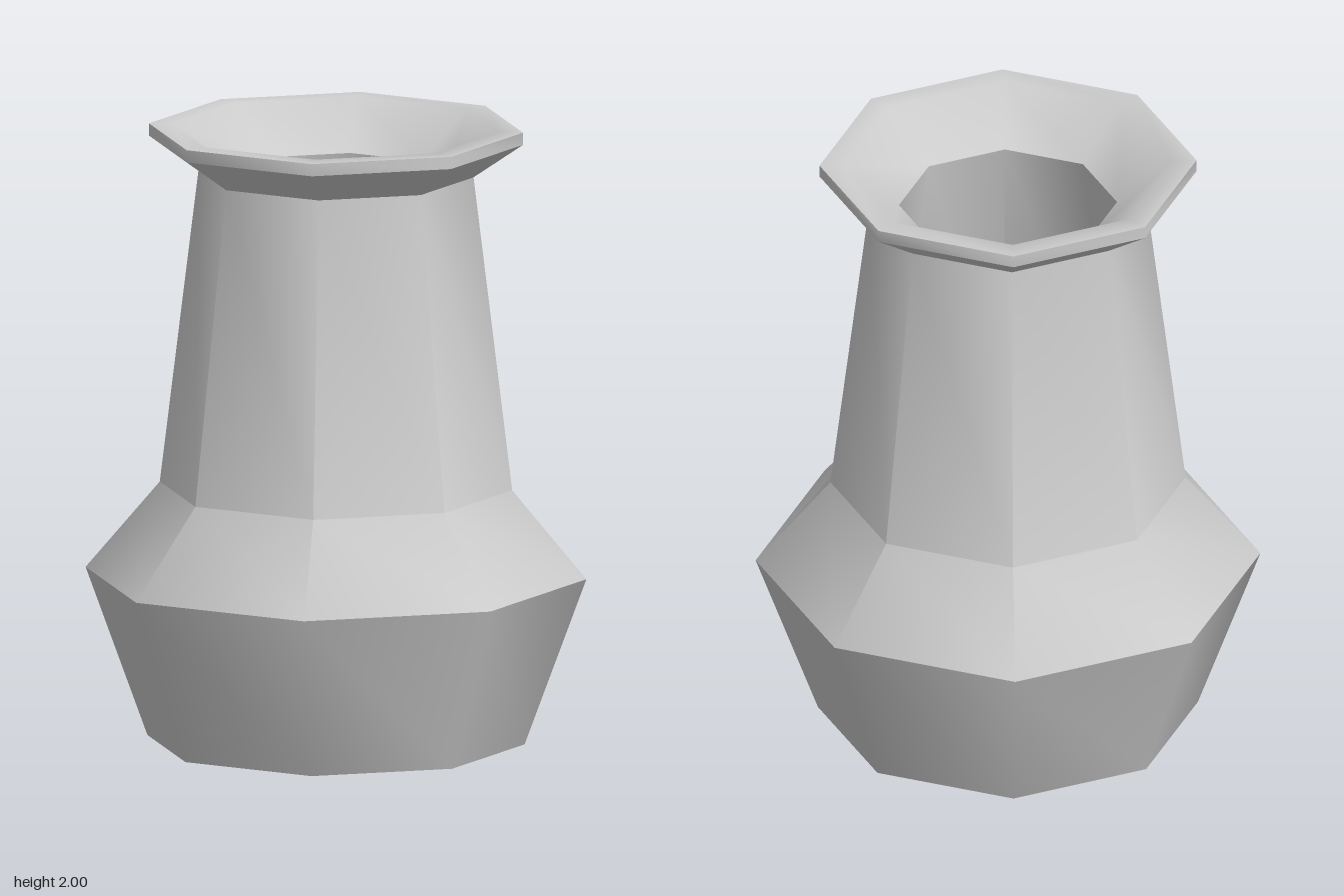
import * as THREE from 'three';
import { toCreasedNormals } from 'three/addons/utils/BufferGeometryUtils.js';

const material = new THREE.MeshStandardMaterial({ color: 0xcccccc });
const SIDES = 8;

// Eight-sided turned part, smooth around its sides and sharp at strong kinks
function turned(name, profile) {
  const points = profile.map(([r, y]) => new THREE.Vector2(r, y));
  const lathe = new THREE.LatheGeometry(points, SIDES);
  const mesh = new THREE.Mesh(toCreasedNormals(lathe, THREE.MathUtils.degToRad(50)), material);
  mesh.name = name;
  return mesh;
}

// Flat octagonal disc facing up or down
function disc(name, radius, y, up) {
  const geometry = new THREE.CircleGeometry(radius, SIDES).rotateX(up ? -Math.PI / 2 : Math.PI / 2);
  const mesh = new THREE.Mesh(geometry, material);
  mesh.name = name;
  mesh.position.y = y;
  return mesh;
}

export function createModel() {
  const vase = new THREE.Group();
  vase.name = 'vase';

  // Closed wall: up the outside, over the flared lip and down the hollow inside
  vase.add(turned('vaseWall', [
    [0.61, 0], [0.81, 0.545], [0.57, 0.83], [0.445, 1.85],
    [0.605, 1.96], [0.605, 2], [0.53, 2], [0.35, 1.85],
    [0.48, 0.82], [0.7, 0.54], [0.53, 0.08],
  ]));

  vase.add(disc('underside', 0.61, 0, false));
  vase.add(disc('innerFloor', 0.53, 0.08, true));
  return vase;
}
